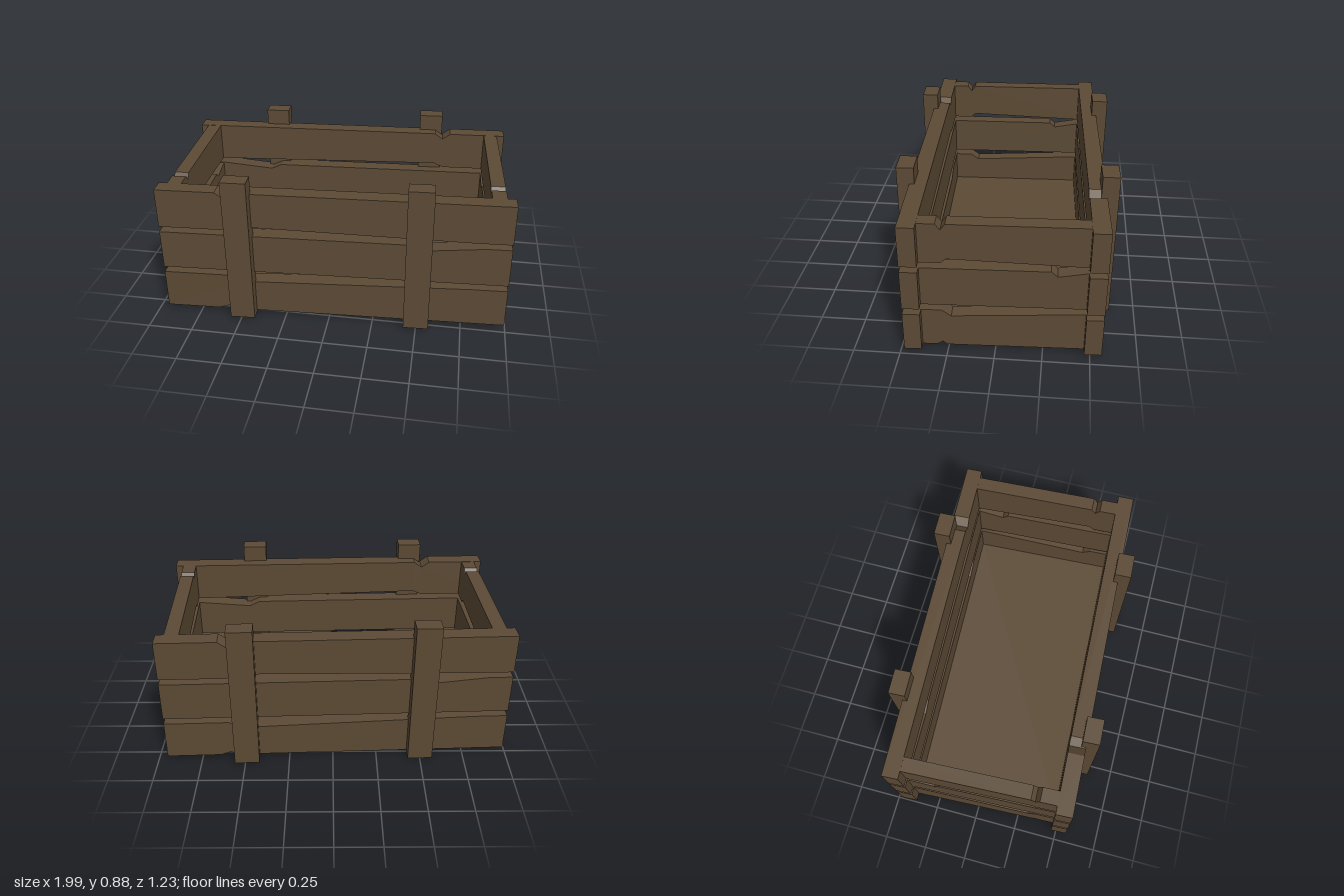
import * as THREE from 'three';

const wood = new THREE.MeshStandardMaterial({ color: 0x5c4a35, flatShading: true });
const HEIGHT = 0.229; // board height
const THICK = 0.092;  // long board thickness

// Chips per row, as [fraction along board, offset] on the top and bottom edges
const rows = [
  { name: 'lower', y: 0.02,
    top: [[0.186, 0], [0.235, -0.036], [0.9, 0]],
    bottom: [[0.157, 0], [0.186, 0.02], [0.21, 0]] },
  { name: 'middle', y: 0.284,
    top: [[0.735, 0], [0.768, -0.03], [0.93, 0]],
    bottom: [] },
  { name: 'upper', y: 0.546,
    top: [[0.172, 0], [0.196, -0.034], [0.22, 0]],
    bottom: [[0.19, 0], [0.22, 0.026], [0.9, 0]] },
];

// Board outline with chipped edges, extruded and centred on its length and thickness
function boardGeometry(row, length, thickness) {
  const at = ([u, dy], y) => new THREE.Vector2((u - 0.5) * length, y + dy);
  const outline = [
    ...[[0, 0], ...row.bottom, [1, 0]].map((p) => at(p, row.y)),
    ...[[0, 0], ...row.top, [1, 0]].reverse().map((p) => at(p, row.y + HEIGHT)),
  ];
  const geo = new THREE.ExtrudeGeometry(new THREE.Shape(outline), { depth: thickness, bevelEnabled: false });
  return geo.translate(0, 0, -thickness / 2);
}

function addMesh(parent, name, geometry, x, y, z, turn = 0) {
  const mesh = new THREE.Mesh(geometry, wood);
  mesh.name = name;
  mesh.position.set(x, y, z);
  mesh.rotation.y = turn;
  parent.add(mesh);
}

export function createModel() {
  const model = new THREE.Group();
  model.name = 'woodenCrate';

  // The crate sits slightly askew
  const crate = new THREE.Group();
  crate.name = 'crate';
  crate.rotation.set(-0.01, 0.044, 0.006);
  model.add(crate);

  // Slatted walls
  for (const row of rows) {
    const long = boardGeometry(row, 1.945, THICK);
    const short = boardGeometry(row, 1.02, 0.08);
    addMesh(crate, `${row.name}FrontBoard`, long, 0, 0, 0.473);
    addMesh(crate, `${row.name}BackBoard`, long, 0, 0, -0.473, Math.PI);
    // End boards run into the long boards; their tops sit a hair lower
    for (const s of [1, -1]) {
      addMesh(crate, `${row.name}${s > 0 ? 'Left' : 'Right'}EndBoard`, short, s * 0.887, -0.001, 0, Math.PI / 2);
    }
  }

  // Upright posts, partly let into the long walls
  const post = new THREE.BoxGeometry(0.14, 0.86, 0.093);
  for (const s of [1, -1]) {
    for (const x of [-0.515, 0.475]) {
      addMesh(crate, s > 0 ? 'frontPost' : 'backPost', post, s * x, 0.4395, s * 0.538);
    }
  }

  // Floor panel
  addMesh(crate, 'floor', new THREE.BoxGeometry(1.7, 0.025, 0.86), 0, 0.045, 0);

  return model;
}
